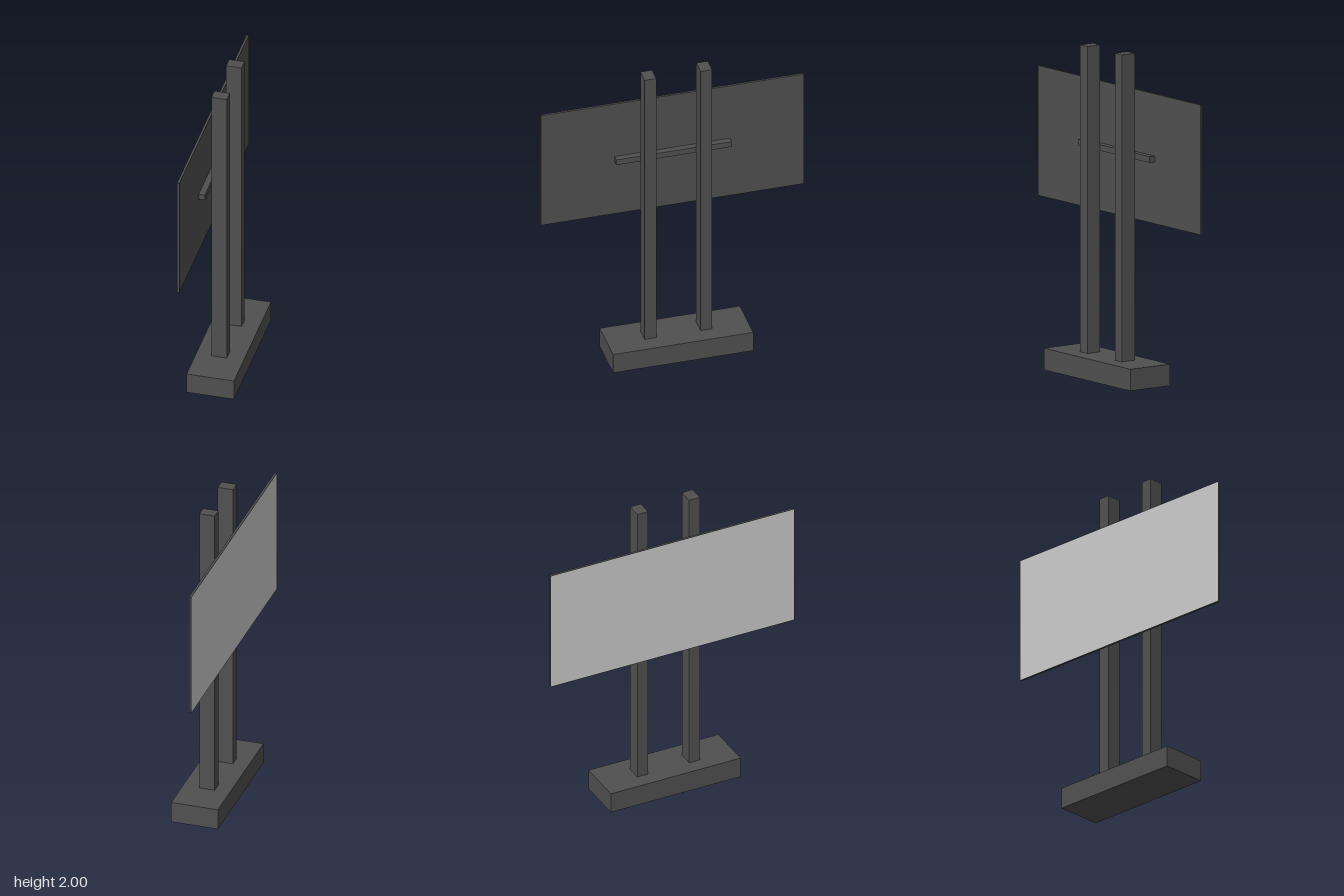
import * as THREE from 'three';

export function createModel() {
  const group = new THREE.Group();
  const dark = new THREE.MeshStandardMaterial({ color: 0x505050 });
  const light = new THREE.MeshStandardMaterial({ color: 0xcccccc });

  // Box given by its minimum and maximum corners
  function box(name, min, max) {
    const size = max.map((v, i) => v - min[i]);
    const mesh = new THREE.Mesh(new THREE.BoxGeometry(...size), dark);
    mesh.position.set(...max.map((v, i) => (v + min[i]) / 2));
    mesh.name = name;
    group.add(mesh);
    return mesh;
  }

  // Floor block
  box('base', [-0.147, 0, -0.436], [0.147, 0.132, 0.436]);

  // Pair of uprights
  for (const side of [-1, 1]) {
    const z = side * 0.174;
    box(side > 0 ? 'frontPost' : 'backPost', [-0.053, 0.132, z - 0.036], [0.043, 2, z + 0.036]);
  }

  // Rail joining the panel to the uprights
  box('mountingRail', [-0.091, 1.355, -0.36], [-0.053, 1.392, 0.36]);

  // Thin panel with a lighter display face on its outer (-x) side
  box('panel', [-0.105, 0.98, -0.818], [-0.091, 1.77, 0.818]);
  const screen = new THREE.Mesh(new THREE.PlaneGeometry(1.632, 0.786), light);
  screen.rotation.y = -Math.PI / 2;
  screen.position.set(-0.106, 1.375, 0);
  screen.name = 'screen';
  group.add(screen);

  return group;
}
